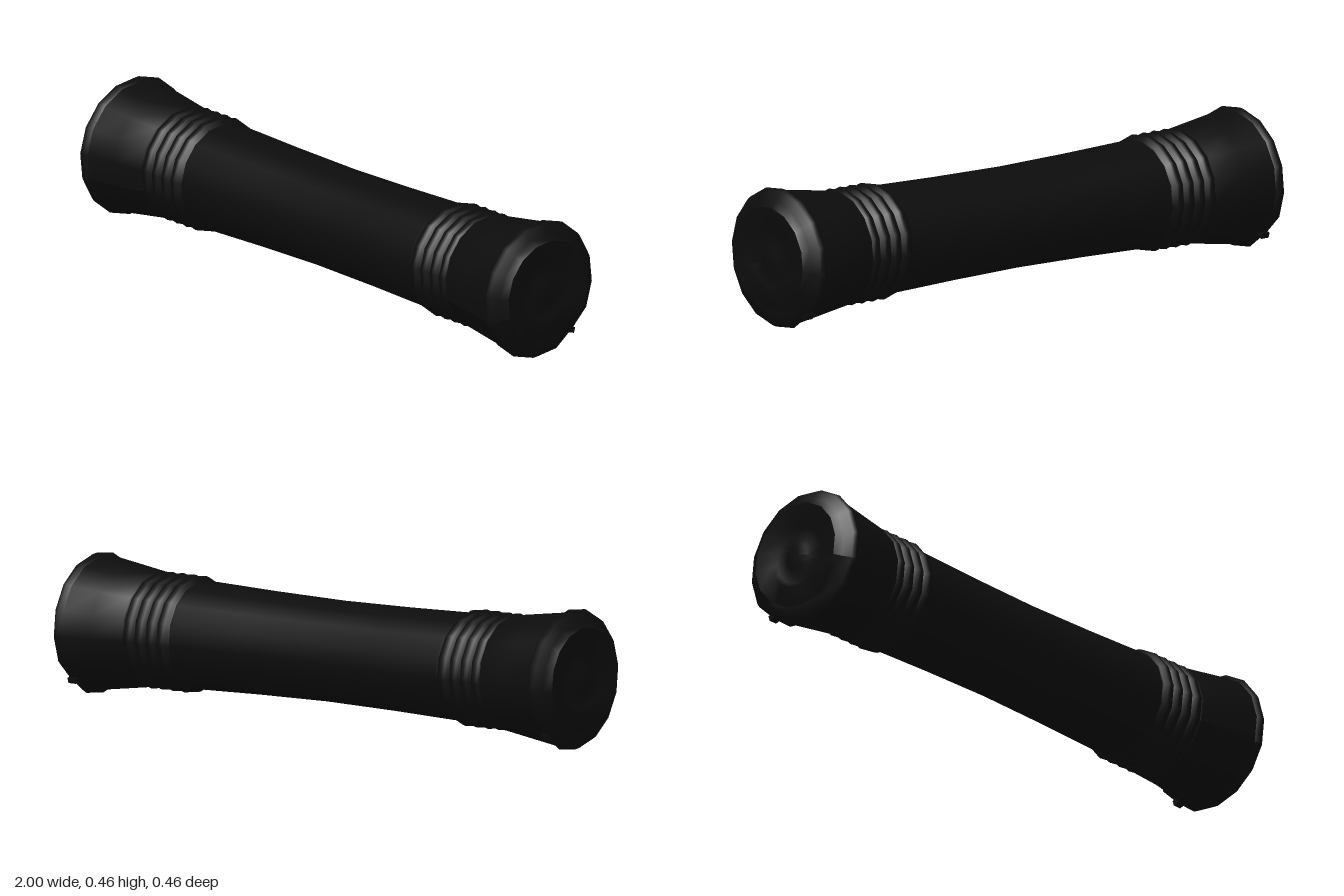
import * as THREE from 'three';

const SIDES = 16;
const CENTRE_Y = 0.229;
const black = new THREE.MeshStandardMaterial({ color: 0x0c0c0c });
black.name = 'black rubber';

// Turns [x, radius] pairs about the long axis; side = -1 mirrors to the other end.
function turned(name, profile, side = 1) {
  let pts = profile.map(([x, r]) => new THREE.Vector2(r, x * side));
  if (side < 0) pts = pts.reverse();
  const geo = new THREE.LatheGeometry(pts, SIDES, THREE.MathUtils.degToRad(17.5));
  geo.rotateZ(-Math.PI / 2);
  const mesh = new THREE.Mesh(geo, black);
  mesh.name = name;
  return mesh;
}

// Flattens the lower edge of an end and pulls in one rim corner at the back.
function wear(mesh, side) {
  const p = mesh.geometry.attributes.position;
  for (let i = 0; i < p.count; i++) {
    const y = p.getY(i), z = p.getZ(i);
    if (y < -0.12 && Math.abs(p.getX(i)) > 0.975) p.setX(i, 0.975 * side);
    if (Math.hypot(y, z) > 0.2 && Math.hypot(y + 0.173, z + 0.147) < 0.03) {
      p.setY(i, y * 0.95);
      p.setZ(i, z * 0.95);
    }
  }
  mesh.geometry.computeVertexNormals();
  return mesh;
}

export function createModel() {
  const group = new THREE.Group();
  group.name = 'handWeight';
  group.position.y = CENTRE_Y;

  // Slightly waisted handle
  group.add(turned('handle', [
    [-0.56, 0.172], [-0.53, 0.175], [-0.27, 0.168], [0, 0.164],
    [0.27, 0.168], [0.53, 0.175], [0.56, 0.172],
  ]));

  for (const side of [1, -1]) {
    const end = new THREE.Group();
    end.name = side > 0 ? 'leftEnd' : 'rightEnd';

    // Four rounded grip rings
    const rings = [[0.535, 0.172]];
    for (let i = 0; i < 4; i++) {
      const x = 0.566 + i * 0.044;
      rings.push([x - 0.021, 0.176], [x - 0.012, 0.187], [x, 0.19], [x + 0.012, 0.187], [x + 0.021, 0.176]);
    }
    end.add(turned('gripRings', rings, side));

    // Flared sleeve, bevelled rim and dished end face
    end.add(wear(turned('flare', [[0.712, 0.172], [0.718, 0.187], [0.83, 0.203], [0.935, 0.218]], side), side));
    end.add(wear(turned('rim', [[0.935, 0.218], [0.95, 0.229], [0.965, 0.222], [0.98, 0.192], [1, 0.173]], side), side));
    end.add(wear(turned('endFace', [
      [1, 0.173], [0.992, 0.11], [0.982, 0.095], [0.982, 0.055], [0.99, 0.04], [0.99, 0],
    ], side), side));

    // Small moulding tab on the lower back corner
    const tab = new THREE.Mesh(new THREE.BoxGeometry(0.03, 0.018, 0.02), black);
    tab.name = 'mouldingTab';
    tab.position.set(0.95 * side, -0.167, -0.137);
    tab.rotation.x = -0.3;
    end.add(tab);
    group.add(end);
  }

  const model = new THREE.Group();
  model.name = 'model';
  model.add(group);
  return model;
}
